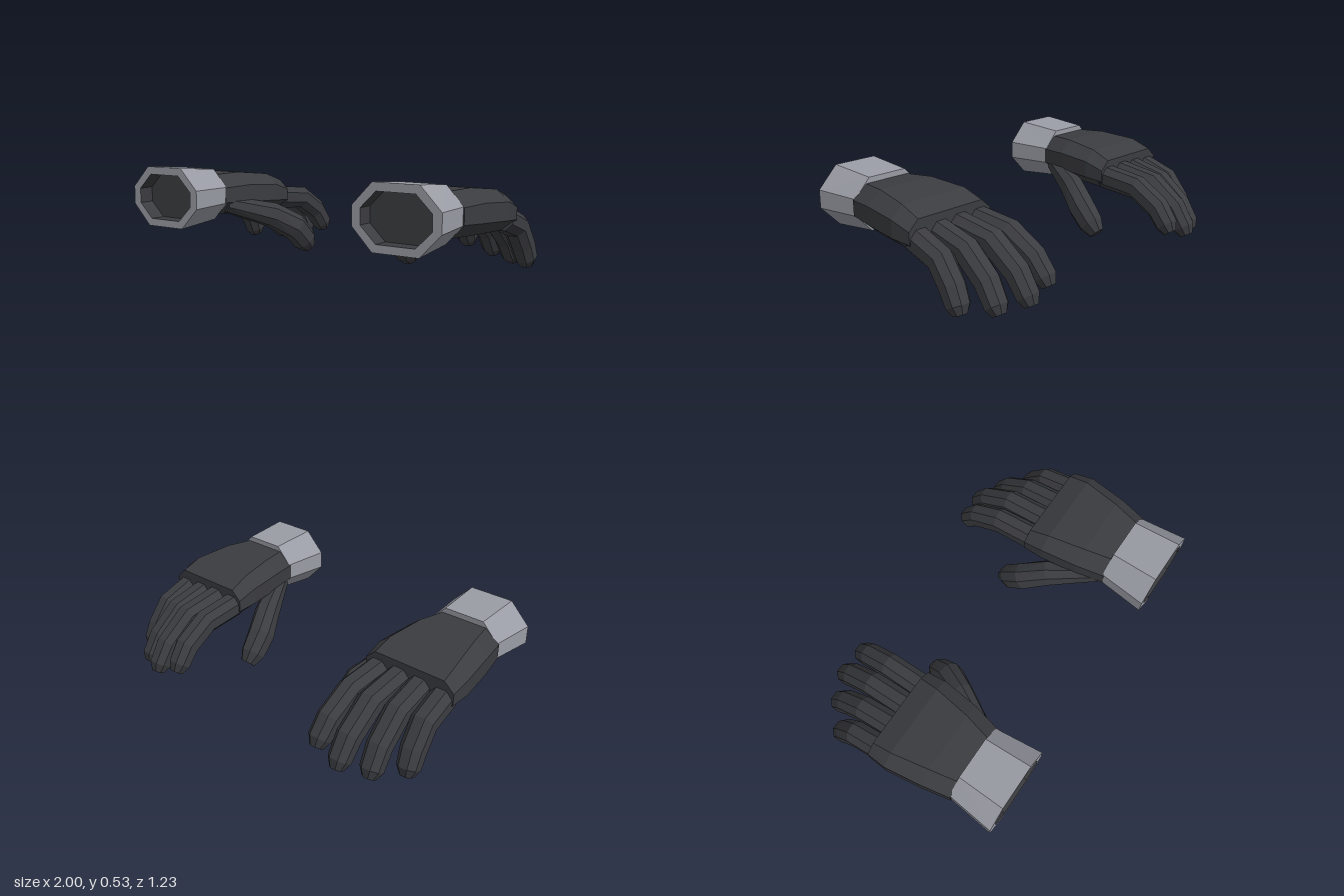
import * as THREE from 'three';

const DARK = new THREE.MeshStandardMaterial({ color: 0x3b3c40, flatShading: true });
const LIGHT = new THREE.MeshStandardMaterial({ color: 0x9a9ca5, flatShading: true });

// Octagon with half width w, half height h and half flats fw (top) and fh (sides)
const octagon = (w, h, fw = w * 0.45, fh = h * 0.45) => [
  [w, -fh], [w, fh], [fw, h], [-fw, h], [-w, fh], [-w, -fh], [-fw, -h], [fw, -h],
];

// Skins octagons along a path. Station: [x, y, z, w, h, fw, fh].
// flat keeps every section square to z; side = -1 mirrors the part in x.
function loft(name, material, stations, side, { flat = false, capStart = true, capEnd = true } = {}) {
  const centres = stations.map(s => new THREE.Vector3(s[0], s[1], s[2]));
  const last = stations.length - 1, positions = [], index = [];
  stations.forEach(([, , , w, h, fw, fh], i) => {
    const t = flat ? new THREE.Vector3(0, 0, -1)
      : centres[Math.min(i + 1, last)].clone().sub(centres[Math.max(i - 1, 0)]).normalize();
    const s = new THREE.Vector3(1, 0, 0).addScaledVector(t, -t.x).normalize();
    const u = s.clone().cross(t);
    for (const [a, b] of octagon(w, h, fw, fh)) {
      const p = centres[i].clone().addScaledVector(s, a).addScaledVector(u, b);
      positions.push(p.x * side, p.y, p.z);
    }
  });
  const tri = (a, b, c) => side > 0 ? index.push(a, b, c) : index.push(a, c, b);
  for (let i = 0; i < last; i++) {
    for (let j = 0; j < 8; j++) {
      const k = (j + 1) % 8, a = i * 8, d = a + 8;
      tri(a + j, d + j, d + k);
      tri(a + j, d + k, a + k);
    }
  }
  for (let j = 1; j < 7; j++) {
    if (capStart) tri(0, j, j + 1);
    if (capEnd) tri(last * 8, last * 8 + j + 1, last * 8 + j);
  }
  const indexed = new THREE.BufferGeometry();
  indexed.setAttribute('position', new THREE.Float32BufferAttribute(positions, 3));
  indexed.setIndex(index);
  const geometry = indexed.toNonIndexed();
  geometry.computeVertexNormals();
  const mesh = new THREE.Mesh(geometry, material);
  mesh.name = name;
  return mesh;
}

// Fingers: x at base and tip, then joint centres as [z, y]
const FINGERS = {
  indexFinger: [0.535, 0.52, [[-0.1, 0.325], [-0.33, 0.3], [-0.48, 0.21], [-0.545, 0.125], [-0.57, 0.085]]],
  middleFinger: [0.665, 0.665, [[-0.1, 0.33], [-0.345, 0.295], [-0.5, 0.18], [-0.567, 0.08], [-0.588, 0.038]]],
  ringFinger: [0.79, 0.81, [[-0.1, 0.325], [-0.305, 0.275], [-0.44, 0.16], [-0.503, 0.06], [-0.522, 0.022]]],
  littleFinger: [0.92, 0.938, [[-0.1, 0.315], [-0.265, 0.257], [-0.345, 0.15], [-0.385, 0.07], [-0.398, 0.03]]],
};
const RADII = [0.064, 0.063, 0.061, 0.056, 0.034];

function createGlove(side) {
  const glove = new THREE.Group();
  glove.name = side > 0 ? 'leftGlove' : 'rightGlove';

  // Cuff: front rim, tapered outer wall and closed back
  const mouth = [0.725, 0.376, 0.615, 0.188, 0.122, 0.103, 0.04];
  glove.add(loft('cuff', LIGHT, [
    mouth,
    [0.725, 0.377, 0.615, 0.235, 0.163, 0.123, 0.049],
    [0.725, 0.377, 0.35, 0.207, 0.141, 0.115, 0.044],
  ], side, { flat: true, capStart: false }));

  // Recessed dark lining inside the cuff
  const floor = mouth.slice();
  floor[2] = 0.53;
  glove.add(loft('cuffLining', DARK, [floor, mouth], side, { flat: true, capEnd: false }));

  // Palm
  glove.add(loft('palm', DARK, [
    [0.727, 0.377, 0.36, 0.212, 0.111, 0.13, 0.041],
    [0.725, 0.377, 0.2, 0.246, 0.116, 0.165, 0.048],
    [0.728, 0.365, -0.01, 0.272, 0.105, 0.2, 0.046],
    [0.726, 0.341, -0.125, 0.265, 0.084, 0.207, 0.032],
  ], side, { flat: true }));

  // Four curled fingers
  for (const [name, [x0, x1, joints]] of Object.entries(FINGERS)) {
    glove.add(loft(name, DARK, joints.map(([z, y], i) =>
      [x0 + (x1 - x0) * Math.min(i / 3, 1), y, z, RADII[i], RADII[i]]), side));
  }

  // Thumb reaching inward and down
  glove.add(loft('thumb', DARK, [
    [0.56, 0.32, 0.305, 0.05, 0.045],
    [0.432, 0.243, 0.065, 0.066, 0.068],
    [0.364, 0.163, -0.06, 0.07, 0.073],
    [0.352, 0.082, -0.14, 0.062, 0.068],
    [0.353, 0.035, -0.183, 0.038, 0.042],
  ], side));
  return glove;
}

export function createModel() {
  const model = new THREE.Group();
  model.name = 'gloves';
  for (const side of [1, -1]) model.add(createGlove(side));
  return model;
}
